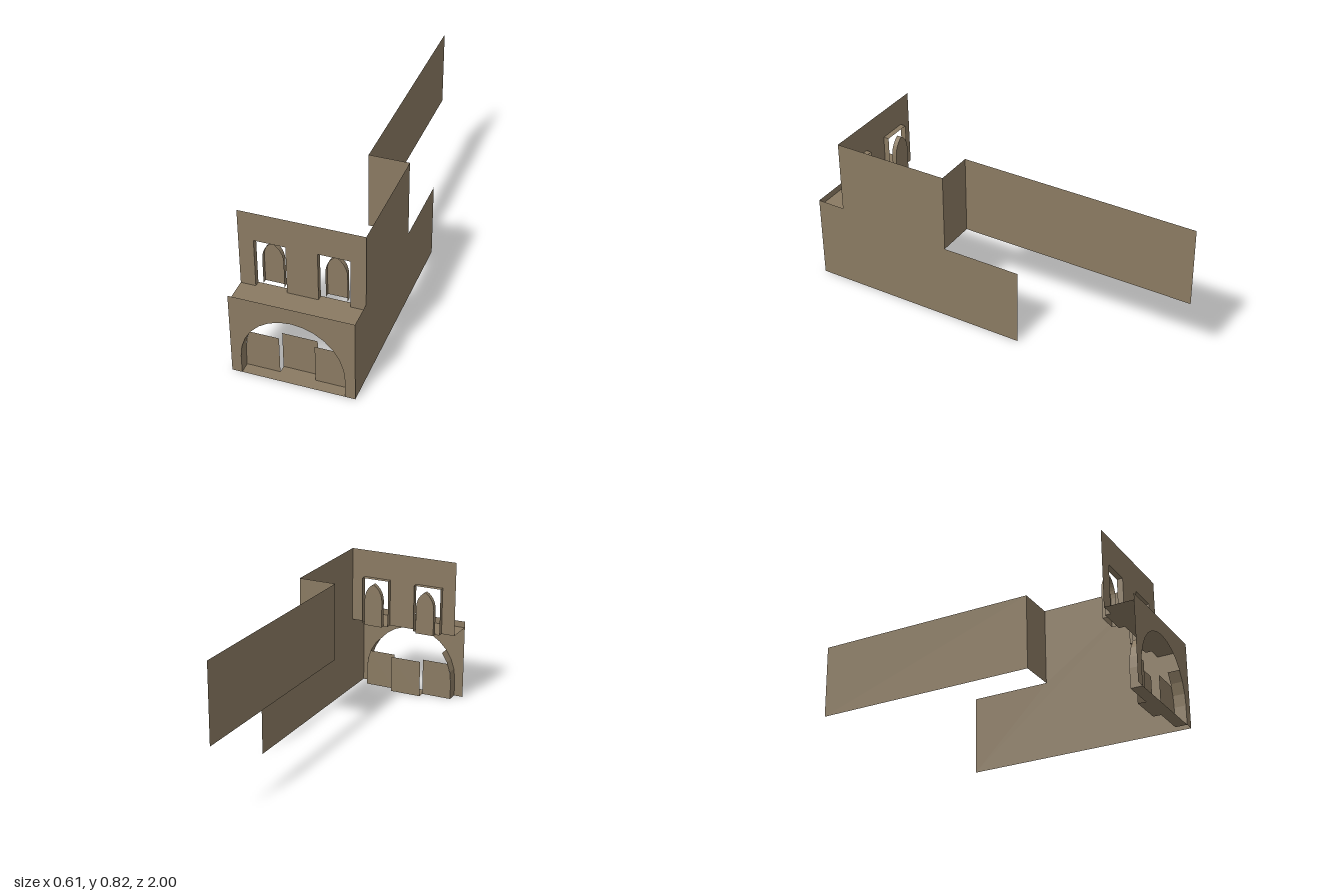
import * as THREE from 'three';

const stone = new THREE.MeshStandardMaterial({ color: 0x8a7a62, side: THREE.DoubleSide });
stone.name = 'sandstone';

const W = 0.307;      // half width of the facade
const FLOOR = 0.41;   // upper floor level
const TOP = 0.822;    // top of the walls

export function createModel() {
  const model = new THREE.Group();
  model.name = 'gatehouse';

  const add = (name, geometry) => {
    const mesh = new THREE.Mesh(geometry, stone);
    mesh.name = name;
    model.add(mesh);
    return mesh;
  };
  const flat = (points) =>
    new THREE.ShapeGeometry(new THREE.Shape(points.map(([x, y]) => new THREE.Vector2(x, y))));

  // Sheet facing z
  const facing = (name, points, z) => add(name, flat(points).translate(0, 0, z));
  // Sheet facing x, points given as [z, y]
  const side = (name, points, x) =>
    add(name, flat(points.map(([z, y]) => [-z, y])).rotateY(Math.PI / 2).translate(x, 0, 0));
  // Horizontal sheet
  const slab = (name, x0, x1, y, z0, z1) =>
    add(name, new THREE.PlaneGeometry(x1 - x0, z1 - z0).rotateX(-Math.PI / 2)
      .translate((x0 + x1) / 2, y, (z0 + z1) / 2));
  // Faceted strip sweeping an outline from z0 to z1
  const strip = (name, points, z0, z1) => {
    const pos = [];
    for (let i = 0; i + 1 < points.length; i++) {
      const [a, b] = points[i], [c, d] = points[i + 1];
      pos.push(a, b, z0, c, d, z0, c, d, z1, a, b, z0, c, d, z1, a, b, z1);
    }
    const g = new THREE.BufferGeometry();
    g.setAttribute('position', new THREE.Float32BufferAttribute(pos, 3));
    g.computeVertexNormals();
    return add(name, g);
  };
  const mirror = (points, s) => points.map(([x, y]) => [x * s, y]);

  // Gate arch, from the left foot over the crown to the right foot
  const arch = [[0.257, 0]];
  for (let i = 0; i <= 14; i++) {
    const a = (i / 14) * Math.PI;
    arch.push([0.257 * Math.cos(a), 0.1 + 0.262 * Math.sin(a)]);
  }
  arch.push([-0.257, 0]);

  // Lower facade with parapet, and the ledge behind it
  facing('gateWall', [[W, 0], [W, 0.445], [-W, 0.445], [-W, 0], ...arch.slice().reverse()], 1);
  slab('ledge', -W, W, FLOOR, 0.85, 1);

  // Gate recess: arch reveals, floor and three low panels
  for (const s of [1, -1]) {
    strip('gateReveal', mirror(arch.slice(0, 5), s), 1, 0.94);
    facing('sidePanel', mirror([[0.088, 0], [0.257, 0], [0.257, 0.1], [0.25, 0.158],
      [0.235, 0.205], [0.088, 0.205]], s), 0.94);
  }
  slab('gateFloor', -0.257, 0.257, 0, 0.94, 1);
  slab('middleFloor', -0.088, 0.088, 0, 0.9, 0.94);
  facing('middlePanel', [[-0.088, 0], [0.088, 0], [0.088, 0.205], [-0.088, 0.205]], 0.9);

  // Upper facade with two openings reaching the floor
  const opening = [[0.232, FLOOR], [0.232, 0.67], [0.077, 0.67], [0.077, FLOOR]];
  const openingOther = mirror(opening, -1).reverse();
  facing('upperWall', [[W, TOP], [W, FLOOR], ...opening, ...openingOther, [-W, FLOOR], [-W, TOP]], 0.85);

  // Window frames with a pointed niche behind each
  const curve = new THREE.QuadraticBezierCurve(
    new THREE.Vector2(0.102, 0.56), new THREE.Vector2(0.105, 0.62), new THREE.Vector2(0.154, 0.65));
  const half = [[0.102, FLOOR], ...curve.getPoints(6).map((p) => [p.x, p.y])];
  const niche = [...half, ...half.slice(0, -1).reverse().map(([x, y]) => [0.308 - x, y])];
  for (const s of [1, -1]) {
    strip('windowFrame', mirror(opening, s), 0.85, 0.82);
    slab('windowSill', s * 0.1545 - 0.0775, s * 0.1545 + 0.0775, FLOOR, 0.82, 0.85);
    strip('nicheRim', mirror(niche, s), 0.82, 0.795);
    facing('nicheBack', mirror(niche, s), 0.795);
  }

  // Long side wall, stepping inward on the upper floor
  side('sideWall', [[1, 0], [1, 0.445], [0.85, 0.445], [0.85, TOP], [0.235, TOP],
    [0.235, FLOOR], [-0.18, FLOOR], [-0.18, 0]], W);
  facing('stepWall', [[0.103, FLOOR], [W, FLOOR], [W, TOP], [0.103, TOP]], 0.235);
  side('rearUpperWall', [[0.235, FLOOR], [0.235, TOP], [-1, TOP], [-1, FLOOR]], 0.103);

  return model;
}
